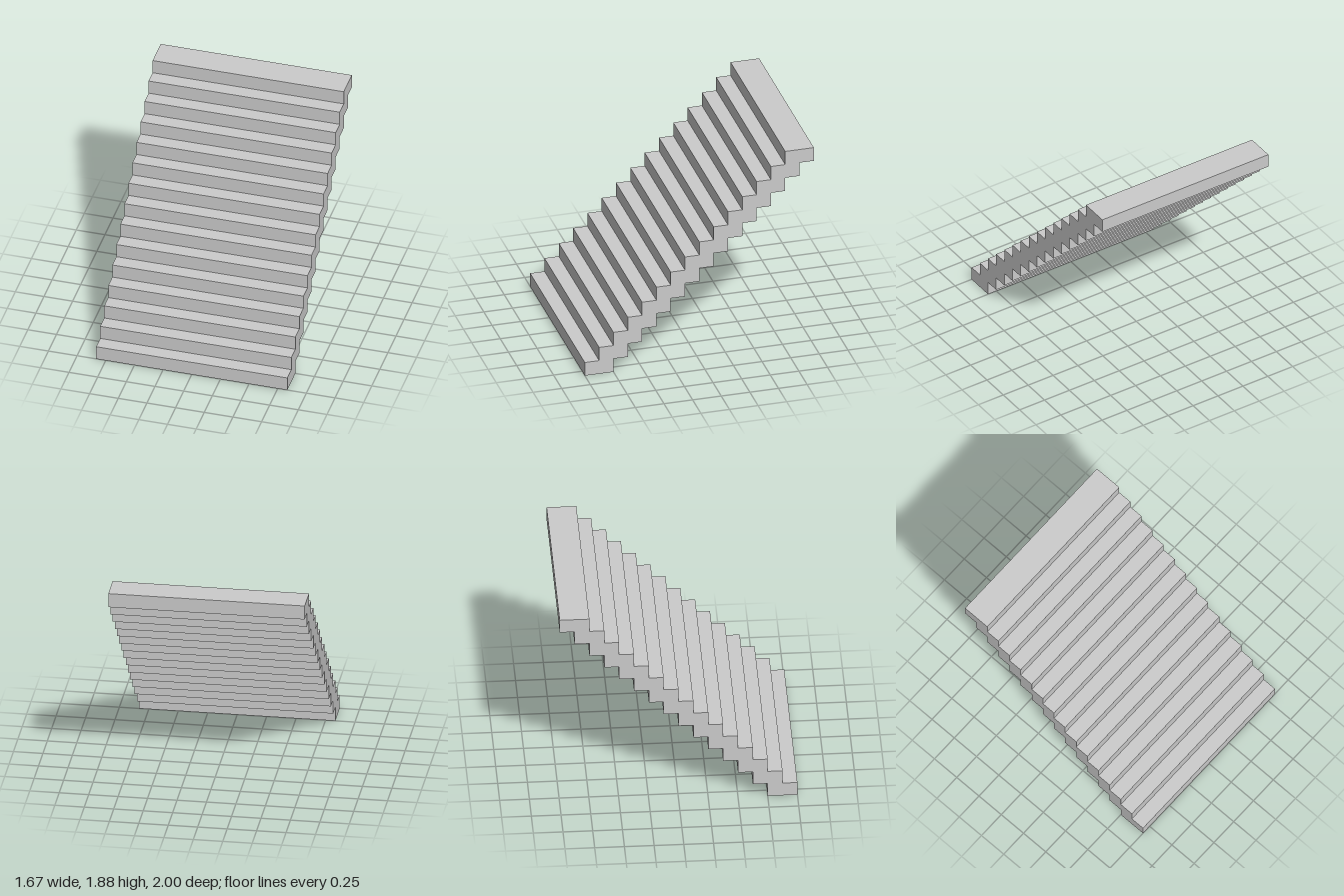
import * as THREE from 'three';

const STEPS = 15;
const RISE = 0.125;   // height of a step and its advance towards the back
const DEPTH = 0.25;   // full depth of a step, half covered by the next one
const WIDTH = 1.667;

// Side outline of the flight: x runs from front to back, y is up
function stairProfile() {
  const shape = new THREE.Shape();
  shape.moveTo(-1, 0);
  // stepped underside, going up
  for (let i = 0; i < STEPS; i++) {
    const back = -1 + i * RISE + DEPTH;
    shape.lineTo(back, i * RISE);
    shape.lineTo(back, (i + 1) * RISE);
  }
  // treads and risers, coming down
  for (let i = STEPS - 1; i >= 0; i--) {
    const front = -1 + i * RISE;
    shape.lineTo(front, (i + 1) * RISE);
    if (i > 0) shape.lineTo(front, i * RISE);
  }
  shape.closePath();
  return shape;
}

export function createModel() {
  const group = new THREE.Group();
  group.name = 'staircase';

  // Flight of steps, extruded across the width
  const geometry = new THREE.ExtrudeGeometry(stairProfile(), { depth: WIDTH, bevelEnabled: false });
  geometry.translate(0, 0, -WIDTH / 2);
  geometry.rotateY(Math.PI / 2);

  const flight = new THREE.Mesh(geometry, new THREE.MeshStandardMaterial({ color: 0xcccccc }));
  flight.name = 'flightOfSteps';
  group.add(flight);
  return group;
}
